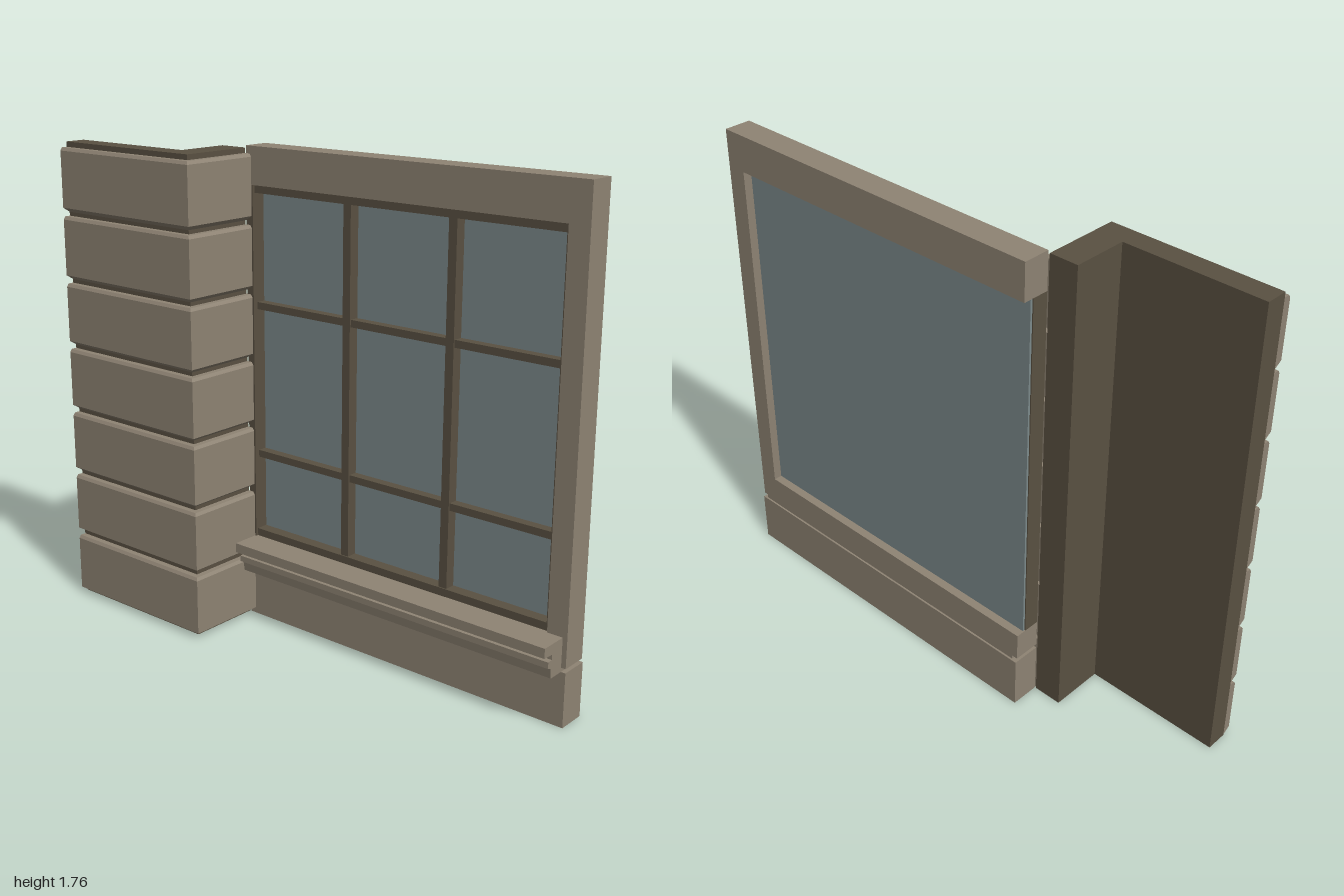
import * as THREE from 'three';

export function createModel() {
  const model = new THREE.Group();
  const paint = (name, color) => {
    const m = new THREE.MeshStandardMaterial({ color });
    m.name = name;
    return m;
  };
  const stone = paint('stone', 0x8f8474);
  const dark = paint('dark brown', 0x5a5142);
  const glass = paint('glass', 0x7d8b8c);

  const add = (name, geometry, material, parent = model) => {
    const mesh = new THREE.Mesh(geometry, material);
    mesh.name = name;
    parent.add(mesh);
    return mesh;
  };
  // Box given by its limits on each axis
  const box = (name, material, x0, x1, y0, y1, z0, z1, parent) => {
    const g = new THREE.BoxGeometry(x1 - x0, y1 - y0, z1 - z0);
    g.translate((x0 + x1) / 2, (y0 + y1) / 2, (z0 + z1) / 2);
    return add(name, g, material, parent);
  };
  const prism = (points, depth) => new THREE.ExtrudeGeometry(
    new THREE.Shape(points.map(([a, b]) => new THREE.Vector2(a, b))),
    { depth, bevelEnabled: false });

  // Skin between stacked rings of [x, y, z] points
  const loft = (rings) => {
    const pos = [];
    for (let r = 0; r + 1 < rings.length; r++) {
      const lo = rings[r], hi = rings[r + 1];
      lo.forEach((a, i) => {
        const j = (i + 1) % lo.length;
        pos.push(...a, ...lo[j], ...hi[j], ...a, ...hi[j], ...hi[i]);
      });
    }
    const g = new THREE.BufferGeometry();
    g.setAttribute('position', new THREE.Float32BufferAttribute(pos, 3));
    g.computeVertexNormals();
    return g;
  };

  // Pier: L-shaped core wrapped with rusticated blocks
  const pier = new THREE.Group();
  pier.name = 'pier';
  model.add(pier);
  const core = prism([[-1, -0.18], [-0.38, -0.18], [-0.38, 0.1],
    [-0.487, 0.1], [-0.487, -0.1], [-1, -0.1]], 1.752);
  core.rotateX(-Math.PI / 2);
  add('pierCore', core, dark, pier);

  const blockRing = (y, d) => [
    [-1, y, 0.18], [-1, y, 0.18 + d], [-0.38 + d, y, 0.18 + d],
    [-0.38 + d, y, -0.1], [-0.38, y, -0.1], [-0.38, y, 0.18],
  ];
  const blockProfile = [[0.004, 0], [0.022, 0.029], [0.228, 0.029], [0.239, 0.022], [0.239, 0]];
  const blockGeometry = loft(blockProfile.map(([y, d]) => blockRing(y, d)));
  for (let i = 0; i < 7; i++) {
    add('pierBlock', blockGeometry, stone, pier).position.y = i * 0.249;
  }

  // Stone surround: plinth, bottom rail, right jamb and lintel
  const surround = new THREE.Group();
  surround.name = 'windowSurround';
  model.add(surround);
  box('plinth', stone, -0.375, 0.997, 0, 0.195, -0.207, -0.1, surround);
  box('bottomRail', stone, -0.375, 0.997, 0.21, 0.315, -0.2, -0.1, surround);
  box('jamb', stone, 0.922, 0.997, 0.315, 1.625, -0.2, -0.1, surround);
  box('lintel', stone, -0.375, 0.997, 1.625, 1.76, -0.2, -0.1, surround);

  // Moulded sill, its profile running along x
  const sill = prism([[-0.005, 0.315], [-0.005, 0.28], [0.04, 0.278], [0.04, 0.26],
    [0.02, 0.258], [0.02, 0.236], [0.035, 0.23], [0.04, 0.195],
    [0.2, 0.195], [0.2, 0.21], [0.1, 0.21], [0.1, 0.315]], 1.332);
  sill.rotateY(Math.PI / 2);
  sill.translate(-0.352, 0, 0);
  add('sill', sill, stone);

  // Window: dark sash, glazing bars and pane
  const sash = new THREE.Group();
  sash.name = 'window';
  model.add(sash);
  const L = -0.375, R = 0.922, B = 0.315, T = 1.625;
  box('leftStile', dark, L, -0.345, B, T, -0.16, -0.1, sash);
  box('rightStile', dark, 0.913, R, B, T, -0.16, -0.11, sash);
  box('sashBottom', dark, -0.345, 0.913, B, 0.343, -0.16, -0.11, sash);
  box('sashTop', dark, -0.345, 0.913, 1.597, T, -0.16, -0.11, sash);
  for (const x of [0.07, 0.5]) {
    box('verticalBar', dark, x - 0.016, x + 0.016, 0.343, 1.597, -0.16, -0.115, sash);
  }
  for (const y of [0.636, 1.193]) {
    box('horizontalBar', dark, -0.345, 0.913, y - 0.013, y + 0.013, -0.16, -0.12, sash);
  }
  box('pane', glass, L + 0.004, R, B, T, -0.168, -0.155, sash);

  return model;
}
